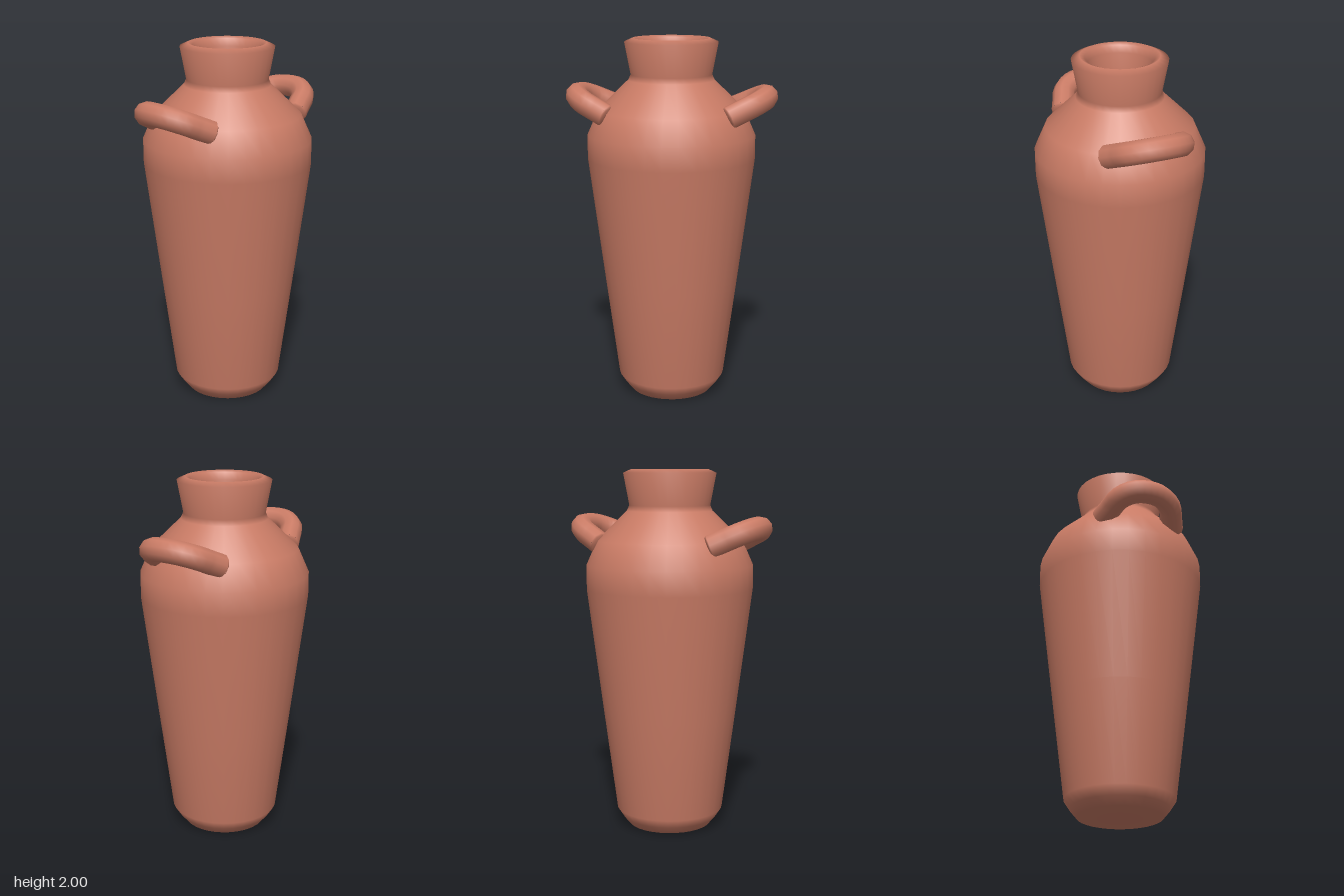
import * as THREE from 'three';

const clay = new THREE.MeshStandardMaterial({ color: 0xc97b65 });
const TUBE = 0.063;

// Hollow vessel: profile runs up the outside, over the lip and down the inside
function makeBody() {
  const profile = [
    [0, 0], [0.1, 0], [0.23, 0.008], [0.265, 0.05], [0.298, 0.1],
    [0.37, 0.65], [0.46, 1.35], [0.46, 1.48], [0.4, 1.615],
    [0.235, 1.775], [0.222, 1.805], [0.255, 1.98],
    [0.21, 2], [0.185, 1.99], [0.175, 1.95], [0.155, 1.8],
    [0.17, 1.74], [0.34, 1.58], [0.4, 1.47], [0.4, 1.35], [0.31, 0.65], [0.24, 0.14], [0, 0.08],
  ].map(([r, y]) => new THREE.Vector2(r, y));
  const body = new THREE.Mesh(new THREE.LatheGeometry(profile, 32), clay);
  body.name = 'body';
  return body;
}

// Loop handle lying in a plane that tilts upward away from the shoulder
function makeHandle(name) {
  const half = [[0.205, 0.325], [0.178, 0.385], [0.145, 0.455], [0.08, 0.503]];
  const outline = [...half, [0, 0.517], ...half.map(([x, z]) => [-x, z]).reverse()];
  const curve = new THREE.CatmullRomCurve3(
    outline.map(([x, z]) => new THREE.Vector3(x, 1.69 - 0.47 * (0.517 - z), z)));

  const handle = new THREE.Group();
  handle.name = name;
  const loop = new THREE.Mesh(new THREE.TubeGeometry(curve, 20, TUBE, 10), clay);
  loop.name = 'handleLoop';
  handle.add(loop);

  // Low rounded caps closing both ends
  for (const t of [0, 1]) {
    const cap = new THREE.Mesh(
      new THREE.SphereGeometry(TUBE, 10, 3, 0, Math.PI * 2, 0, Math.PI / 2), clay);
    const outward = curve.getTangent(t).multiplyScalar(t ? 1 : -1);
    cap.quaternion.setFromUnitVectors(new THREE.Vector3(0, 1, 0), outward);
    cap.position.copy(curve.getPoint(t));
    cap.scale.y = 0.25;
    cap.name = 'handleEnd';
    handle.add(cap);
  }
  return handle;
}

export function createModel() {
  const jar = new THREE.Group();
  jar.name = 'jar';
  const back = makeHandle('backHandle');
  back.rotation.y = Math.PI;
  jar.add(makeBody(), makeHandle('frontHandle'), back);
  return jar;
}
